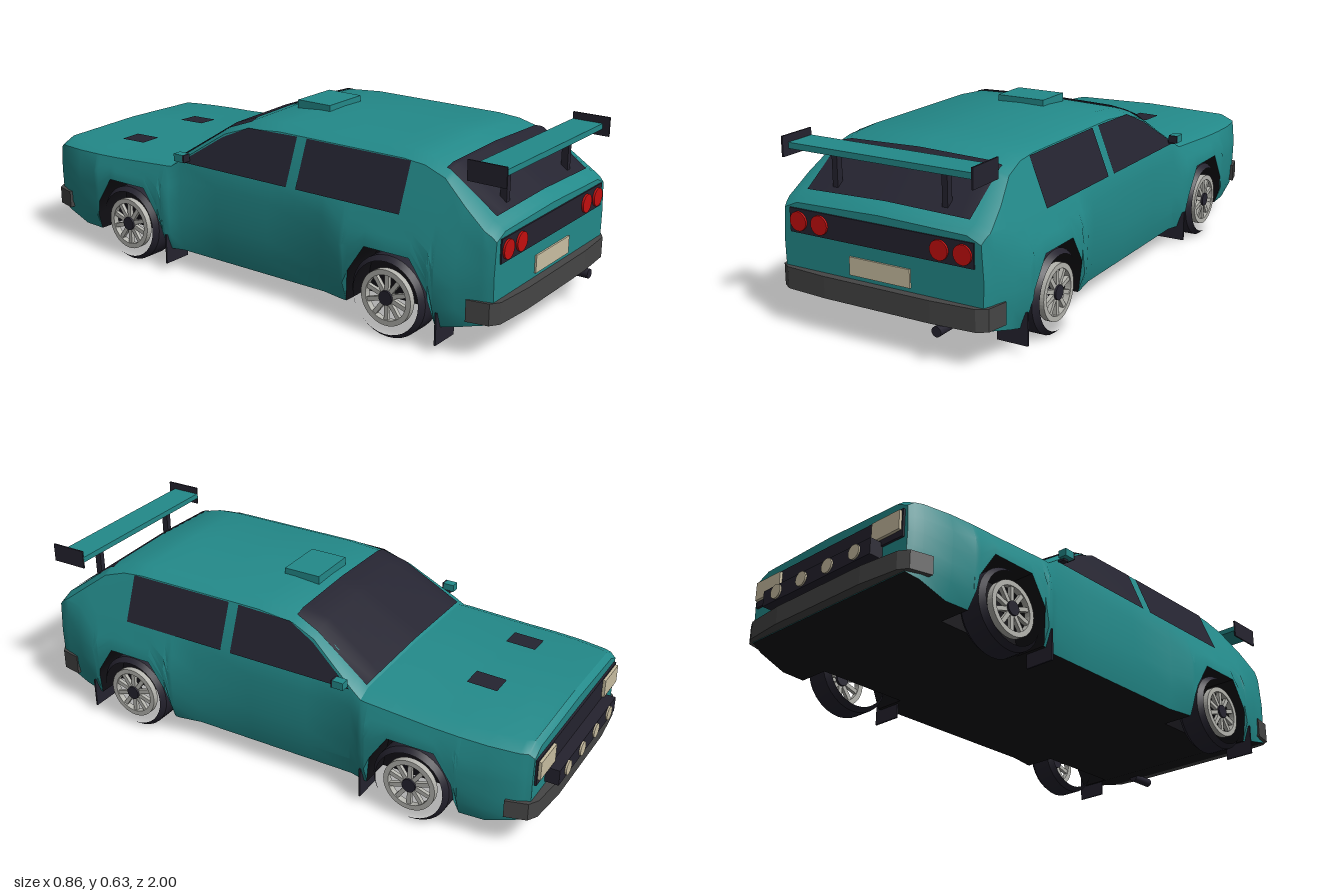
import * as THREE from 'three';
import { toCreasedNormals } from 'three/addons/utils/BufferGeometryUtils.js';

const mat = (name, color, extra = {}) => {
  const m = new THREE.MeshStandardMaterial({ color, ...extra });
  m.name = name;
  return m;
};

// piecewise-linear lookup in [[key, value], ...]
const lerpTable = (table, k) => {
  if (k <= table[0][0]) return table[0][1];
  for (let i = 1; i < table.length; i++) {
    const [k0, v0] = table[i - 1], [k1, v1] = table[i];
    if (k <= k1) return v0 + (v1 - v0) * (k - k0) / (k1 - k0);
  }
  return table[table.length - 1][1];
};

// body rules: the tail is at +z, the nose at -z
const ROOF = [[-0.945, 0.385], [-0.925, 0.4], [-0.6, 0.41], [-0.34, 0.425], [-0.13, 0.568], [-0.04, 0.6], [0.1, 0.612],
  [0.6, 0.612], [0.68, 0.605], [0.76, 0.58], [0.92, 0.46], [0.95, 0.441], [0.965, 0.426]];
const FLOOR = [[-0.945, 0.13], [-0.8, 0.08], [0.78, 0.08], [0.965, 0.13]];
const PROFILE = [[0.08, 0.378], [0.13, 0.392], [0.28, 0.398], [0.42, 0.388], [0.58, 0.325]];
const TAPER = [[-0.945, 0.93], [-0.9, 0.975], [-0.8, 1], [0.85, 1], [0.93, 0.975], [0.965, 0.945]];
const FLARE = [[-0.93, 0], [-0.7, 0.027], [-0.36, 0.027], [-0.3, 0], [0.33, 0], [0.42, 0.027], [0.78, 0.027], [0.92, 0]];
const BULGE = [[0.08, 0.6], [0.15, 1], [0.32, 1], [0.42, 0]];
const ARCH = [[-0.171, 0], [-0.17, 0.09], [-0.15, 0.2], [-0.085, 0.298], [0.085, 0.298], [0.15, 0.2], [0.17, 0.09], [0.171, 0]];
const AXLES = [0.605, -0.54];

const width = (y, z) => lerpTable(PROFILE, y) * lerpTable(TAPER, z) + lerpTable(FLARE, z) * lerpTable(BULGE, y);
const sillY = (z) => Math.max(lerpTable(FLOOR, z), ...AXLES.map((c) => lerpTable(ARCH, z - c)));
const shoulder = (z) => {
  const top = lerpTable(ROOF, z), y = top - 0.03;
  return { top, y, x: width(y, z) };
};
// height of the roof, bonnet or glass surface
const topY = (x, z) => {
  const s = shoulder(z);
  return lerpTable([[0, s.top], [s.x - 0.05, s.top - 0.008], [s.x, s.y]], Math.abs(x));
};

const meshGeometry = (positions, index) => {
  const g = new THREE.BufferGeometry();
  g.setAttribute('position', new THREE.Float32BufferAttribute(positions, 3));
  g.setIndex(index);
  g.computeVertexNormals();
  return g;
};

// half cross-section from floor centre to roof centre; the first three edges are underbody
const halfSection = (z) => {
  const floor = lerpTable(FLOOR, z), low = sillY(z), s = shoulder(z);
  const belt = Math.min(0.42, s.y - 0.004);
  const pts = [[0, floor], [0.28, floor], [0.28, low]];
  for (const t of [0, 0.2, 0.4, 0.6, 0.8, 1]) {
    const y = low + (belt - low) * t;
    pts.push([width(y, z), y]);
  }
  pts.push([s.x, s.y], [s.x - 0.05, s.top - 0.008], [0, s.top]);
  return pts;
};

const bodyGeometries = () => {
  const zs = [...ROOF, ...FLOOR, ...TAPER, ...FLARE].map((p) => p[0]);
  AXLES.forEach((c) => ARCH.forEach(([dz]) => zs.push(c + dz)));
  const stations = [...new Set(zs.map((z) => Math.round(z * 1000) / 1000))].sort((a, b) => a - b);
  const pos = [], paint = [], under = [];
  let m = 0;
  for (const z of stations) {
    const half = halfSection(z);
    const ring = [...half, ...half.slice(1, -1).reverse().map(([x, y]) => [-x, y])];
    m = ring.length;
    ring.forEach(([x, y]) => pos.push(x, y, z));
  }
  const last = (stations.length - 1) * m;
  const centre = pos.length / 3;
  pos.push(0, 0.25, stations[0], 0, 0.25, stations[stations.length - 1]);
  for (let j = 0; j < m; j++) {
    const k = (j + 1) % m, list = j < 3 || j >= m - 3 ? under : paint;
    for (let b = 0; b < last; b += m) list.push(b + j, b + k, b + m + k, b + j, b + m + k, b + m + j);
    paint.push(centre, k, j, centre + 1, last + j, last + k);
  }
  return [paint, under].map((list) => toCreasedNormals(meshGeometry(pos, list), 0.5));
};

// thin sheet laid over the top surface; rows are [z, half width]
const drape = (rows, cx = 0, lift = 0.006, n = 16) => {
  const pos = [], idx = [];
  rows.forEach(([z, hw], r) => {
    for (let i = 0; i <= n; i++) {
      const x = cx + hw * (2 * i / n - 1);
      pos.push(x, topY(x, z) + lift, z);
      if (r && i) {
        const d = r * (n + 1) + i, b = d - n - 1;
        idx.push(b - 1, d - 1, d, b - 1, d, b);
      }
    }
  });
  return meshGeometry(pos, idx);
};

// flat pane following the body side; outline is [z, y]
const sidePane = (outline, side) => {
  const pos = outline.flatMap(([z, y]) => [side * (width(y, z) + 0.004), y, z]);
  const idx = [];
  for (let i = 1; i < outline.length - 1; i++) idx.push(0, ...(side > 0 ? [i, i + 1] : [i + 1, i]));
  return meshGeometry(pos, idx);
};

export function createModel() {
  const car = new THREE.Group();
  car.name = 'hatchbackCar';
  const teal = mat('teal paint', 0x238a8a);
  const dark = mat('dark trim', 0x25232f);
  const glass = mat('dark glass', 0x242330, { side: THREE.DoubleSide });
  const black = mat('underbody black', 0x121116);
  const grey = mat('bumper grey', 0x454545);
  const cream = mat('lamp cream', 0xcabfa2);
  const red = mat('tail light red', 0xc40f0f);
  const silver = mat('rim silver', 0xb4b4ae);

  const add = (name, geo, material, x = 0, y = 0, z = 0, parent = car) => {
    const mesh = new THREE.Mesh(geo, material);
    mesh.name = name;
    mesh.position.set(x, y, z);
    parent.add(mesh);
    return mesh;
  };
  // box from min and max corners
  const box = (name, material, x0, x1, y0, y1, z0, z1) =>
    add(name, new THREE.BoxGeometry(x1 - x0, y1 - y0, z1 - z0), material, (x0 + x1) / 2, (y0 + y1) / 2, (z0 + z1) / 2);
  const disc = (name, material, r, depth, x, y, z) =>
    add(name, new THREE.CylinderGeometry(r, r, depth, 24).rotateX(Math.PI / 2), material, x, y, z);

  // body shell
  const [paintGeo, underGeo] = bodyGeometries();
  add('bodyShell', paintGeo, teal);
  add('underbody', underGeo, black);

  // glass
  add('windscreen', drape([[-0.335, 0.345], [-0.13, 0.315], [-0.04, 0.3]]), glass);
  add('rearWindow', drape([[0.745, 0.305], [0.76, 0.305], [0.92, 0.305], [0.927, 0.305]]), glass);
  for (const s of [1, -1]) {
    add('rearSideWindow', sidePane([[0.63, 0.42], [0.22, 0.42], [0.22, 0.58], [0.63, 0.58]], s), glass);
    add('frontSideWindow', sidePane([[0.18, 0.42], [-0.295, 0.42], [-0.13, 0.53], [-0.03, 0.575], [0.18, 0.58]], s), glass);
  }

  // bonnet vents and roof scoop
  for (const cx of [-0.228, 0.095]) add('bonnetVent', drape([[-0.71, 0.04], [-0.6, 0.04]], cx, 0.004, 2), glass);
  box('roofScoop', teal, -0.092, 0.092, 0.595, 0.631, 0, 0.14);

  // tail panel, lights and plate
  box('tailPanel', dark, -0.345, 0.345, 0.32, 0.4, 0.963, 0.97);
  for (const x of [-0.308, -0.225, 0.225, 0.308]) disc('tailLight', red, 0.032, 0.008, x, 0.36, 0.973);
  box('numberPlate', cream, -0.114, 0.114, 0.217, 0.277, 0.963, 0.971);
  disc('exhaustPipe', dark, 0.017, 0.1, 0.228, 0.112, 0.95);

  // nose: grille, headlights and lamp bar
  box('grille', dark, -0.355, 0.355, 0.25, 0.345, -0.953, -0.944);
  for (const s of [1, -1]) add('headlight', new THREE.BoxGeometry(0.125, 0.066, 0.016), cream, s * 0.287, 0.305, -0.955);
  box('lampBar', dark, -0.26, 0.26, 0.208, 0.264, -0.994, -0.94);
  for (const x of [-0.19, -0.063, 0.063, 0.19]) disc('spotLamp', cream, 0.025, 0.01, x, 0.238, -0.995);

  // wrap-around bumpers, outline is [x, z] on one side
  const bumper = (name, outline, y, height) => {
    const pts = [...outline, ...[...outline].reverse().map(([x, z]) => [-x, z])];
    const shape = new THREE.Shape(pts.map(([x, z]) => new THREE.Vector2(x, -z)));
    const geo = new THREE.ExtrudeGeometry(shape, { depth: height, bevelEnabled: false }).rotateX(-Math.PI / 2);
    add(name, geo, grey, 0, y, 0);
  };
  bumper('rearBumper', [[0.402, 0.885], [0.388, 0.96], [0.355, 0.982], [0.2, 0.993]], 0.13, 0.073);
  bumper('frontBumper', [[0.406, -0.87], [0.385, -0.945], [0.35, -0.965], [0.2, -0.979]], 0.132, 0.063);

  // rear wing
  box('wingBlade', teal, -0.35, 0.35, 0.586, 0.606, 0.845, 0.955);
  for (const s of [1, -1]) {
    add('wingEndPlate', new THREE.BoxGeometry(0.006, 0.067, 0.135), dark, s * 0.351, 0.597, 0.913);
    add('wingStrut', new THREE.BoxGeometry(0.02, 0.12, 0.024), dark, s * 0.206, 0.53, 0.897);
  }

  // door mirrors
  for (const s of [1, -1]) {
    add('mirrorShell', new THREE.BoxGeometry(0.032, 0.027, 0.04), teal, s * 0.412, 0.446, -0.272);
    add('mirrorGlass', new THREE.BoxGeometry(0.032, 0.027, 0.006), dark, s * 0.412, 0.446, -0.249);
    add('mirrorStalk', new THREE.BoxGeometry(0.04, 0.01, 0.02), dark, s * 0.39, 0.43, -0.27);
  }

  // wheels: open tyre band, spoked rim and cap, outer face towards +x
  const tyreGeo = toCreasedNormals(new THREE.LatheGeometry(
    [[0.124, -0.056], [0.14, -0.038], [0.14, 0.038], [0.124, 0.056]].map(([r, a]) => new THREE.Vector2(r, a)), 32,
  ).rotateZ(-Math.PI / 2), 0.4);
  const rimShape = new THREE.Shape().absarc(0, 0, 0.095, 0, Math.PI * 2);
  rimShape.holes.push(new THREE.Path().absarc(0, 0, 0.077, 0, Math.PI * 2, true));
  const rimGeo = new THREE.ExtrudeGeometry(rimShape, { depth: 0.022, bevelEnabled: false, curveSegments: 24 }).rotateY(Math.PI / 2);
  for (const axle of AXLES) {
    for (const s of [1, -1]) {
      const wheel = new THREE.Group();
      wheel.name = 'wheel';
      wheel.position.set(s * 0.367, 0.142, axle);
      wheel.rotation.y = s > 0 ? 0 : Math.PI;
      add('tyre', tyreGeo, dark, 0, 0, 0, wheel);
      add('rim', rimGeo, silver, 0.032, 0, 0, wheel);
      for (let i = 0; i < 10; i++) {
        const spoke = new THREE.BoxGeometry(0.014, 0.066, 0.015).translate(0, 0.05, 0).rotateX(i * Math.PI / 5);
        add('spoke', spoke, silver, 0.043, 0, 0, wheel);
      }
      add('hubCap', new THREE.CylinderGeometry(0.025, 0.025, 0.03, 16).rotateZ(Math.PI / 2), dark, 0.042, 0, 0, wheel);
      car.add(wheel);
      // mud flap behind the wheel
      add('mudFlap', new THREE.BoxGeometry(0.11, 0.11, 0.006), dark, s * 0.365, 0.084, axle + 0.186);
    }
  }
  return car;
}
